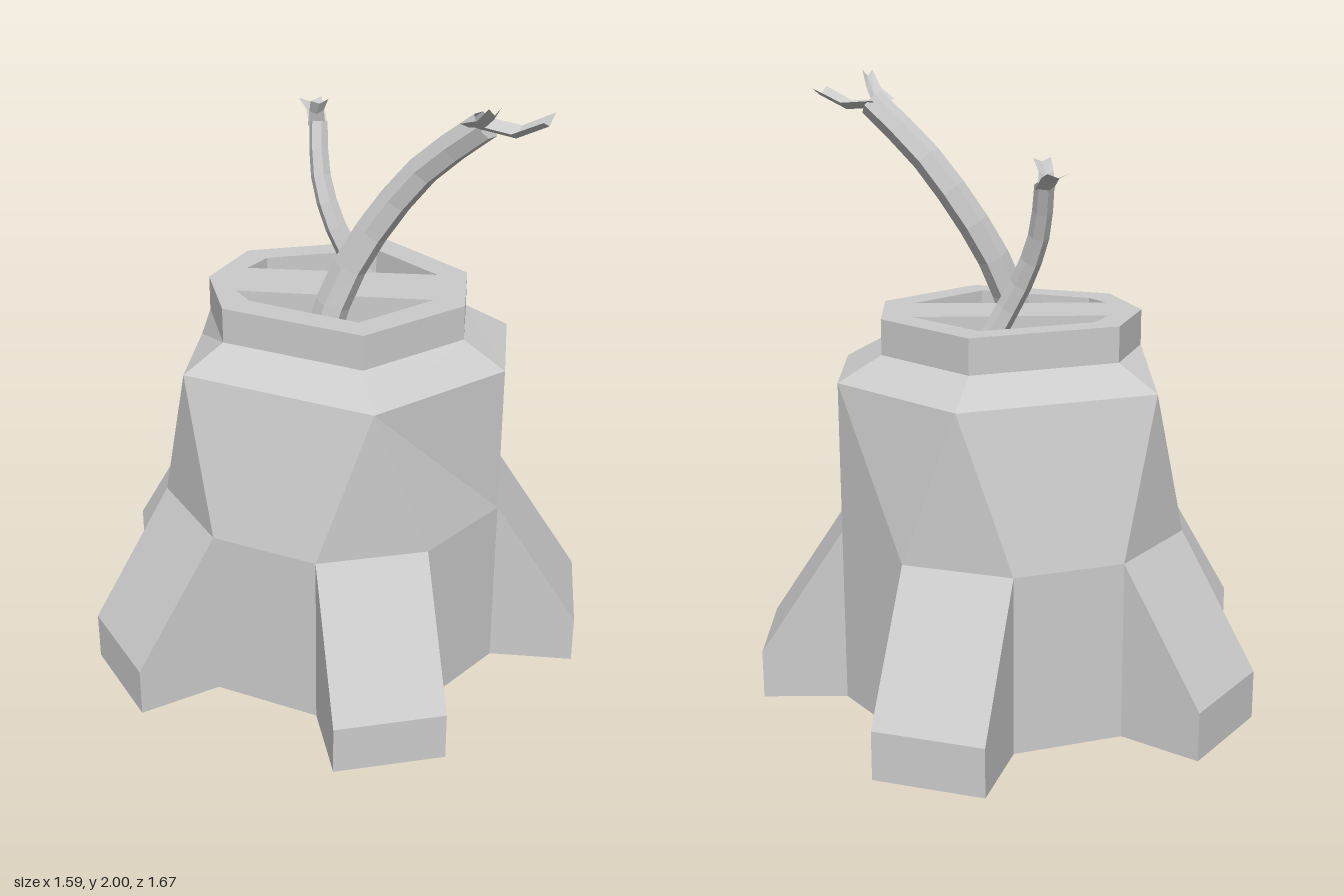
import * as THREE from 'three';

const material = new THREE.MeshStandardMaterial({ color: 0xcccccc, flatShading: true, side: THREE.DoubleSide });
const CX = 0.0225, R = 0.575, STEP = Math.PI / 5;
const RIM = 1.075, SHOULDER = 0.58, LID_LOW = 1.155, LID_TOP = 1.27;

const polar = (deg, r, y) => {
  const a = THREE.MathUtils.degToRad(deg);
  return new THREE.Vector3(CX + r * Math.cos(a), y, r * Math.sin(a));
};

// Collects triangles and quads into one flat-shaded mesh
function faceMesh(name, faces) {
  const pts = [];
  for (const f of faces) {
    for (let i = 2; i < f.length; i++) pts.push(f[0], f[i - 1], f[i]);
  }
  const g = new THREE.BufferGeometry().setFromPoints(pts);
  g.computeVertexNormals();
  return named(name, g);
}

function named(name, geometry) {
  const mesh = new THREE.Mesh(geometry, material);
  mesh.name = name;
  return mesh;
}

// One spreading root: sloped top, blunt end and two sides, open below
function root(deg) {
  const out = polar(deg, 0.275, 0).sub(new THREE.Vector3(CX, 0, 0));
  const inner = (s, y) => polar(deg + s * 18, R, y);
  const outer = (s, y) => inner(s, y).add(out);
  const side = (s) => [inner(s, 0), outer(s, 0), outer(s, 0.16), inner(s, SHOULDER)];
  return faceMesh('root', [
    [outer(1, 0.16), outer(-1, 0.16), inner(-1, SHOULDER), inner(1, SHOULDER)],
    [outer(1, 0), outer(-1, 0), outer(-1, 0.16), outer(1, 0.16)],
    side(-1).reverse(), side(1),
  ]);
}

// Tapered many-sided shoot along a curve
function shoot(name, path, r0, r1) {
  const curve = new THREE.CatmullRomCurve3(path.map((p) => new THREE.Vector3(...p)));
  const rings = 7, sides = 6;
  const g = new THREE.TubeGeometry(curve, rings, 1, sides, false);
  const pos = g.attributes.position, v = new THREE.Vector3();
  for (let i = 0; i < pos.count; i++) {
    const t = Math.floor(i / (sides + 1)) / rings;
    const c = curve.getPointAt(t);
    v.fromBufferAttribute(pos, i).sub(c).multiplyScalar(THREE.MathUtils.lerp(r0, r1, t)).add(c);
    pos.setXYZ(i, v.x, v.y, v.z);
  }
  return named(name, g);
}

// Cupped bud leaf: three points across, swept along a short path
function leaf(path, widths, cup) {
  const pts = path.map((p) => new THREE.Vector3(...p));
  const side = pts[pts.length - 1].clone().sub(pts[0]).cross(new THREE.Vector3(0, 1, 0)).normalize();
  const rows = pts.map((p, i) => [
    p.clone().addScaledVector(side, -widths[i]),
    p.clone().add(new THREE.Vector3(0, -cup, 0)),
    p.clone().addScaledVector(side, widths[i]),
  ]);
  const faces = [];
  for (let i = 0; i + 1 < rows.length; i++) {
    for (let j = 0; j < 2; j++) {
      faces.push([rows[i][j], rows[i][j + 1], rows[i + 1][j + 1], rows[i + 1][j]]);
    }
  }
  return faceMesh('budLeaf', faces);
}

export function createModel() {
  const model = new THREE.Group();
  model.name = 'treeStump';

  // Trunk: ten-sided below, narrowing to a point above every root but one
  const apothem = R * Math.cos(STEP / 2);
  const isWide = (deg) => deg % 360 === 36;
  const top = (deg, s) => (isWide(deg) ? polar(deg + 18 * s, R, RIM) : polar(deg, apothem, RIM));
  const trunk = [];
  for (let deg = 36; deg < 396; deg += 72) {
    const next = deg + 72;
    const low = (d, s, y) => polar(d + 18 * s, R, y);
    model.add(root(deg));
    trunk.push(
      [low(next, -1, 0), low(deg, 1, 0), low(deg, 1, SHOULDER), low(next, -1, SHOULDER)],
      [low(deg, 1, SHOULDER), top(deg, 1), top(next, -1), low(next, -1, SHOULDER)],
    );
    const a = low(deg, 1, SHOULDER), b = low(deg, -1, SHOULDER);
    trunk.push(isWide(deg) ? [a, b, top(deg, -1), top(deg, 1)] : [a, b, top(deg, 0)]);
  }
  model.add(faceMesh('trunk', trunk));

  // Sloped shoulder between trunk and lid
  const lid = [[0.435, 0.13], [0.28, 0.35], [-0.105, 0.385], [-0.385, 0], [-0.31, -0.25], [-0.1, -0.39], [0.36, -0.24]];
  const left = top(180, 0), back = top(252, 0);
  const rim = [top(36, -1), top(36, 1), top(108, 0), left, left.clone().lerp(back, 0.48), back, top(324, 0)];
  const inner = lid.map(([x, z]) => new THREE.Vector3(x, LID_LOW, z));
  model.add(faceMesh('shoulder', rim.map((p, i) => {
    const j = (i + 1) % rim.length;
    return [rim[j], p, inner[i], inner[j]];
  })));

  // Flat lid with two sunken openings
  const toVec2 = (list) => list.map(([x, z]) => new THREE.Vector2(x, z));
  const shape = new THREE.Shape(toVec2(lid));
  const openings = [
    [[-0.17, -0.255], [-0.075, -0.3], [0.28, -0.185], [0.34, 0.1]],
    [[-0.285, -0.105], [0.22, 0.265], [-0.07, 0.295], [-0.285, -0.015]],
  ];
  for (const o of openings) shape.holes.push(new THREE.Path(toVec2(o)));
  const lidGeometry = new THREE.ExtrudeGeometry(shape, { depth: LID_TOP - LID_LOW, bevelEnabled: false });
  const lidMesh = named('lid', lidGeometry.rotateX(Math.PI / 2));
  lidMesh.position.y = LID_TOP;
  model.add(lidMesh);
  for (const o of openings) {
    model.add(faceMesh('openingFloor', [o.map(([x, z]) => new THREE.Vector3(x, LID_LOW + 0.005, z)).reverse()]));
  }

  // Tall shoot leaning forward
  const tall = new THREE.Group();
  tall.name = 'tallShoot';
  tall.add(
    shoot('tallStem', [[-0.12, 1.16, 0.15], [-0.09, 1.27, 0.16], [-0.03, 1.42, 0.185], [0.05, 1.58, 0.24],
      [0.13, 1.74, 0.335], [0.22, 1.9, 0.5]], 0.056, 0.047),
    leaf([[0.21, 1.91, 0.48], [0.27, 1.9, 0.58], [0.33, 1.945, 0.65]], [0.047, 0.047, 0.055], 0.025),
    leaf([[0.185, 1.91, 0.49], [0.17, 1.94, 0.57], [0.15, 1.995, 0.64]], [0.04, 0.025, 0.018], 0.02),
  );

  // Short shoot leaning back
  const short = new THREE.Group();
  short.name = 'shortShoot';
  short.add(
    shoot('shortStem', [[0.21, 1.16, -0.09], [0.155, 1.27, -0.12], [0.105, 1.42, -0.18], [0.095, 1.56, -0.24],
      [0.12, 1.71, -0.295]], 0.04, 0.03),
    leaf([[0.12, 1.7, -0.295], [0.135, 1.74, -0.345], [0.15, 1.76, -0.405]], [0.03, 0.03, 0.038], 0.015),
    leaf([[0.115, 1.7, -0.3], [0.11, 1.75, -0.29], [0.11, 1.79, -0.27]], [0.03, 0.025, 0.03], 0.012),
  );
  model.add(tall, short);
  return model;
}
